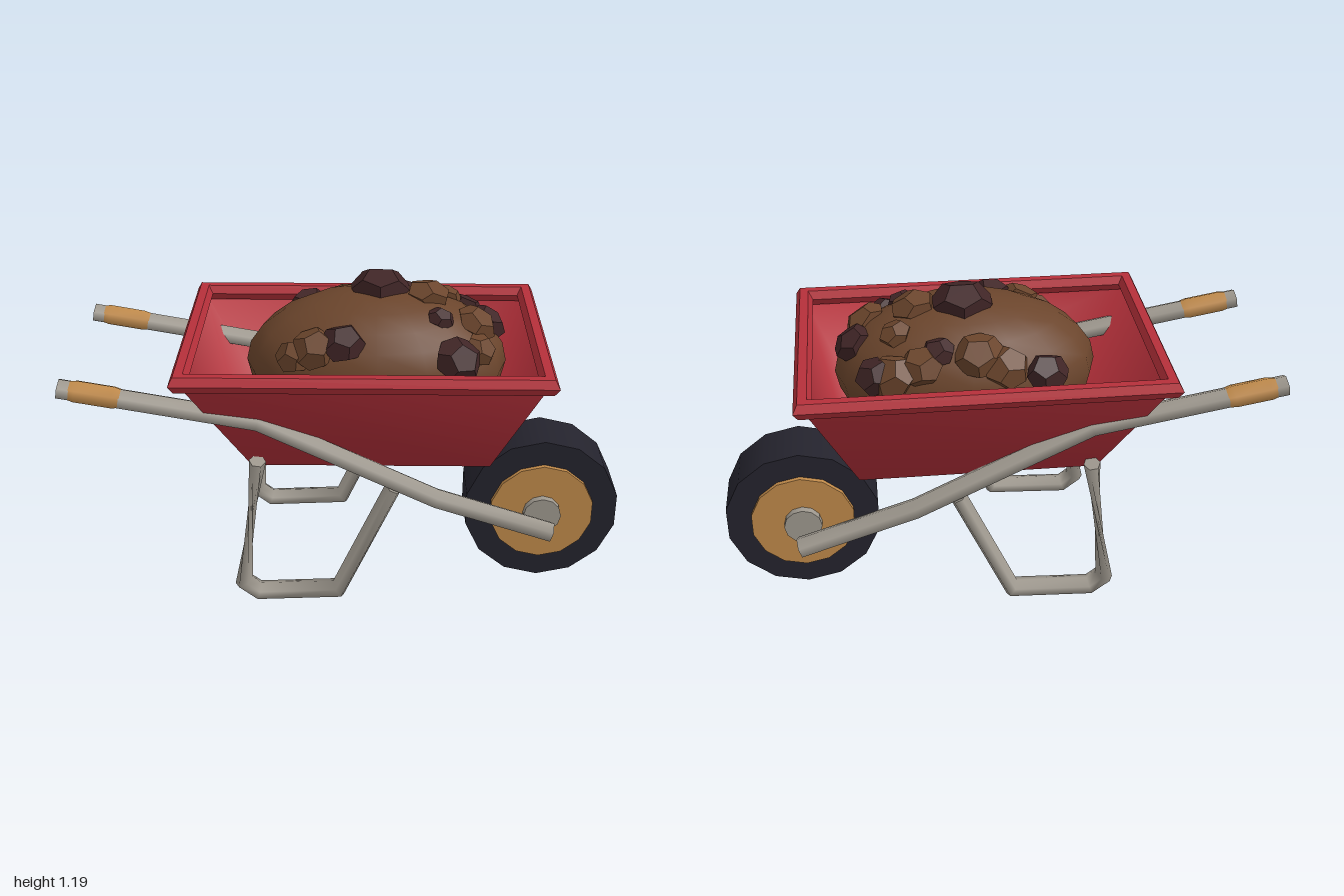
import * as THREE from 'three';

const mat = (color, opts = {}) => new THREE.MeshStandardMaterial({ color, ...opts });

function add(parent, name, geometry, material) {
  const mesh = new THREE.Mesh(geometry, material);
  mesh.name = name;
  parent.add(mesh);
  return mesh;
}

// Joins equal-sized rings of Vector3 into a skin; rings run counter-clockwise about the path
function skin(rings, { closed = false, caps = false } = {}) {
  const n = rings[0].length;
  const pos = rings.flat().flatMap((p) => p.toArray());
  const index = [];
  const last = closed ? rings.length : rings.length - 1;
  for (let i = 0; i < last; i++) {
    const r = i * n, s = ((i + 1) % rings.length) * n;
    for (let j = 0; j < n; j++) {
      const k = (j + 1) % n;
      index.push(r + j, r + k, s + j, r + k, s + k, s + j);
    }
  }
  if (caps) {
    [rings[0], rings[rings.length - 1]].forEach((ring, end) => {
      const base = pos.length / 3;
      ring.forEach((p) => pos.push(...p.toArray()));
      for (let j = 1; j < n - 1; j++) {
        if (end) index.push(base, base + j, base + j + 1);
        else index.push(base, base + j + 1, base + j);
      }
    });
  }
  const g = new THREE.BufferGeometry();
  g.setAttribute('position', new THREE.Float32BufferAttribute(pos, 3));
  g.setIndex(index);
  g.computeVertexNormals();
  return g;
}

// Six-sided mitred pipe along points [x, y, radius scale, roll] in the xy plane
function pipe(points, r = 0.036, rz = 0.044) {
  const p = points.map(([x, y]) => new THREE.Vector2(x, y));
  const rings = points.map(([x, y, scale = 1, roll = 0], i) => {
    const before = p[i].clone().sub(p[Math.max(i - 1, 0)]).normalize();
    const after = p[Math.min(i + 1, p.length - 1)].clone().sub(p[i]).normalize();
    const d = before.clone().add(after).normalize();
    const mitre = 1 / Math.max(0.6, d.dot(i ? before : after));
    return Array.from({ length: 6 }, (_, k) => {
      const a = (k * Math.PI) / 3 + roll;
      const u = Math.cos(a) * r * scale * mitre;
      return new THREE.Vector3(x - d.y * u, y + d.x * u, Math.sin(a) * rz * scale);
    });
  });
  return skin(rings, { caps: true });
}

// Horizontal rectangle ring
const rect = (x0, x1, hz, y) => [[x1, hz], [x1, -hz], [x0, -hz], [x0, hz]]
  .map(([x, z]) => new THREE.Vector3(x, y, z));

export function createModel() {
  const model = new THREE.Group();
  model.name = 'wheelbarrow';
  const red = mat(0xb5303a, { side: THREE.DoubleSide });
  const redRim = mat(0xb5303a, { flatShading: true });
  const steel = mat(0x9f998f);
  const wood = mat(0xc08a4a);
  const rubber = mat(0x24232d);
  const soil = mat(0x6b452c);
  const clodBrown = mat(0x6b452c, { flatShading: true });
  const clodDark = mat(0x402526, { flatShading: true });

  // Tub: flared box open at the top
  add(model, 'tub', skin([
    rect(0.07, 0.07, 0, 0.58),
    rect(-0.35, 0.49, 0.29, 0.58),
    rect(-0.575, 0.66, 0.412, 0.95),
  ]), red);

  // Rolled rim with a six-sided section
  const rimRings = Array.from({ length: 6 }, (_, k) => {
    const a = (k * Math.PI) / 3, o = Math.cos(a) * 0.031;
    return rect(-0.573 - o, 0.66 + o, 0.413 + o, 0.956 + Math.sin(a) * 0.033);
  });
  add(model, 'rim', skin(rimRings, { closed: true }), redRim);

  // Handles, grips and legs on both sides
  for (const side of [1, -1]) {
    const frame = new THREE.Group();
    frame.name = side > 0 ? 'frontSideFrame' : 'backSideFrame';
    frame.position.z = side * 0.334;
    model.add(frame);
    add(frame, 'handle', pipe([[-0.994, 0.896], [-0.32, 0.776], [0.3, 0.475], [0.715, 0.338]]), steel);
    add(frame, 'grip', pipe([
      [-0.985, 0.895, 0.8], [-0.935, 0.886, 1.12], [-0.81, 0.864, 1.12], [-0.762, 0.855, 0.85],
    ]), wood);
    // The rear upright of the leg is twisted
    add(frame, 'leg', pipe([
      [-0.325, 0.62, 1, (Math.PI * 2) / 3], [-0.39, 0.12], [-0.335, 0.077],
      [-0.045, 0.09], [0.15, 0.52],
    ], 0.03), steel);
  }

  // Wheel: tyre, disc and hub on one axis
  const wheel = new THREE.Group();
  wheel.name = 'wheel';
  wheel.position.set(0.71, 0.288, 0);
  wheel.rotation.x = Math.PI / 2;
  model.add(wheel);
  add(wheel, 'tyre', new THREE.CylinderGeometry(0.287, 0.287, 0.2, 14), rubber);
  add(wheel, 'wheelDisc', new THREE.CylinderGeometry(0.193, 0.193, 0.235, 14), wood);
  add(wheel, 'hub', new THREE.CylinderGeometry(0.07, 0.07, 0.29, 12), steel);

  // Soil heap
  const heap = new THREE.Group();
  heap.name = 'soilHeap';
  model.add(heap);
  const c = new THREE.Vector3(0.088, 0.86, 0), s = new THREE.Vector3(0.468, 0.27, 0.305);
  const mound = add(heap, 'mound', new THREE.SphereGeometry(1, 16, 12), soil);
  mound.position.copy(c);
  mound.scale.copy(s);

  // Clods half sunk into the heap: x, z, radius, dark
  const clods = [
    [0.1, -0.03, 0.11, 1], [-0.17, -0.27, 0.08, 1], [0.42, -0.23, 0.075, 1],
    [0.49, -0.04, 0.075, 1], [0.37, 0.22, 0.09, 1], [-0.03, 0.23, 0.08, 1],
    [0.2, -0.22, 0.06, 1], [0.31, 0.12, 0.05, 1], [-0.03, -0.26, 0.085, 0],
    [0.06, -0.24, 0.09, 0], [0.26, -0.24, 0.08, 0], [0.36, -0.24, 0.09, 0],
    [0.27, -0.01, 0.085, 0], [-0.13, 0.22, 0.085, 0], [-0.2, 0.21, 0.07, 0],
    [0.44, 0.06, 0.08, 0], [0.34, -0.12, 0.06, 0], [0.45, 0.15, 0.065, 0],
  ];
  clods.forEach(([x, z, r, dark], i) => {
    const h = 1 - ((x - c.x) / s.x) ** 2 - (z / s.z) ** 2;
    const y = Math.max(0.96, c.y + s.y * Math.sqrt(Math.max(0, h)));
    const geo = new THREE.DodecahedronGeometry(r, 0);
    geo.rotateX(i * 1.7).rotateY(i * 2.3).scale(1, 0.62, 0.9);
    const clod = add(heap, 'clod', geo, dark ? clodDark : clodBrown);
    clod.position.set(x, y, z);
    // Lie flat against the slope of the heap
    const n = new THREE.Vector3((x - c.x) / s.x ** 2, (y - c.y) / s.y ** 2, z / s.z ** 2).normalize();
    clod.quaternion.setFromUnitVectors(new THREE.Vector3(0, 1, 0), n);
  });

  return model;
}
